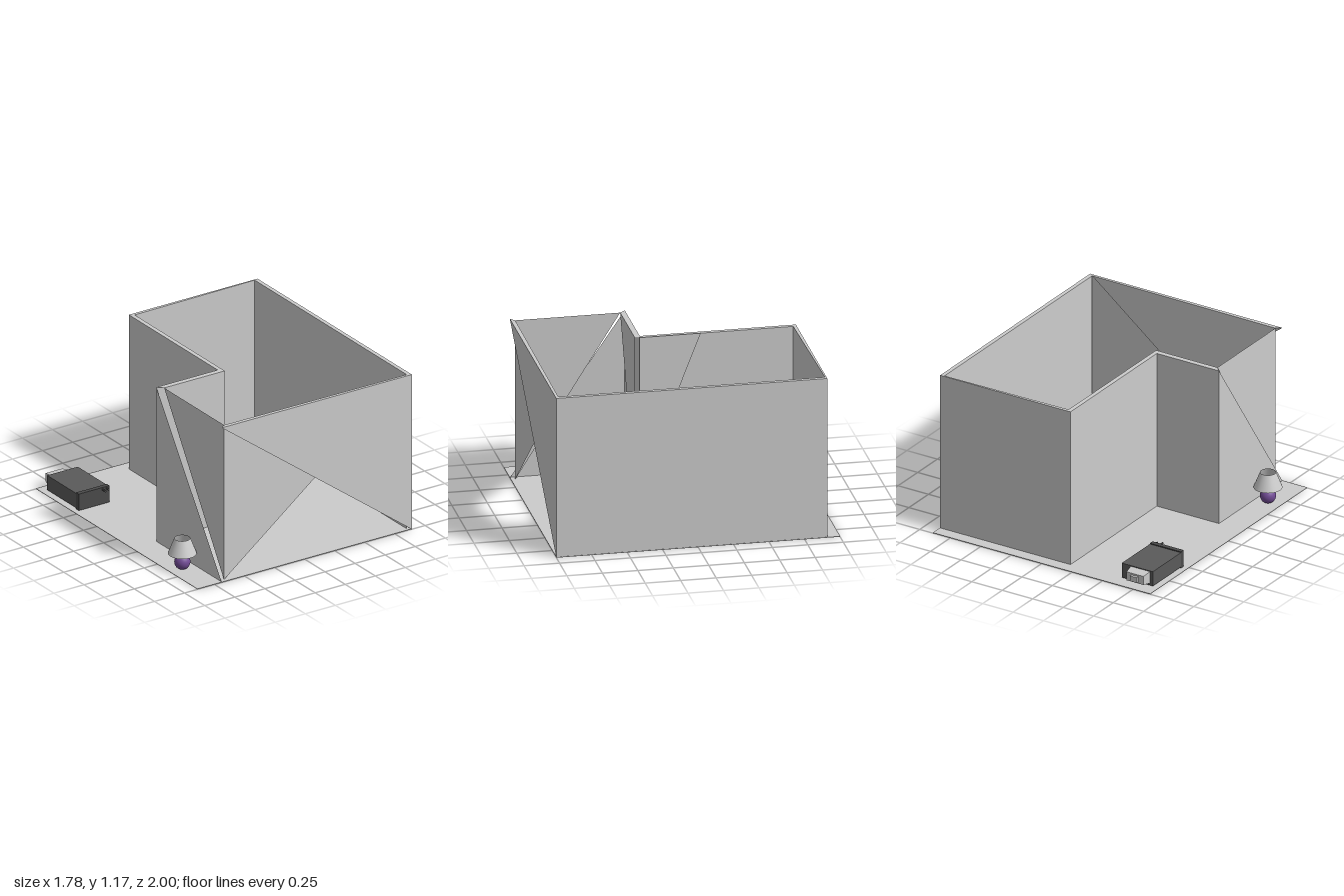
import * as THREE from 'three';

const paint = (color = 0xcccccc, flat = true) =>
  new THREE.MeshStandardMaterial({ color, flatShading: flat, side: THREE.DoubleSide });

function add(parent, name, geometry, material, x = 0, y = 0, z = 0) {
  const mesh = new THREE.Mesh(geometry, material);
  mesh.name = name;
  mesh.position.set(x, y, z);
  parent.add(mesh);
  return mesh;
}

// Flat convex panel from its corners, in order
function panel(corners) {
  const pos = [];
  for (let i = 1; i < corners.length - 1; i++) pos.push(...corners[0], ...corners[i], ...corners[i + 1]);
  const g = new THREE.BufferGeometry();
  g.setAttribute('position', new THREE.Float32BufferAttribute(pos, 3));
  g.computeVertexNormals();
  return g;
}

export function createModel() {
  const model = new THREE.Group();
  const grey = paint();
  const H = 1.175;

  // Floor slab
  add(model, 'floor', new THREE.BoxGeometry(1.785, 0.004, 2), grey, 0, 0.002, 0);

  // Plan of the room, [x, z], outer and inner face of each corner
  const outer = [[-0.69, 1], [0.89, 1], [0.89, -0.91], [-0.18, -0.91], [-0.18, 0.19], [-0.69, 0.19]];
  const inner = [[-0.652, 0.97], [0.86, 0.98], [0.86, -0.9], [-0.148, -0.885], [-0.148, 0.23], [-0.652, 0.23]];
  const names = ['frontWall', 'sideWall', 'backWall', 'recessSideWall', 'recessBackWall', 'leftWall'];

  // Panel corners: 0 start bottom, 1 end bottom, 2 end top, 3 start top
  // Some faces are only half there, leaving triangular openings
  const outerKeep = { 0: [1, 2, 3], 5: [0, 1, 3] };
  const innerKeep = { 0: [0, 2, 3], 4: [0, 2, 3], 5: [0, 2, 3] };
  const full = [0, 1, 2, 3];

  names.forEach((name, i) => {
    const wall = new THREE.Group();
    wall.name = name;
    model.add(wall);
    const j = (i + 1) % 6;
    const quad = (plan) => [
      [plan[i][0], 0, plan[i][1]], [plan[j][0], 0, plan[j][1]],
      [plan[j][0], H, plan[j][1]], [plan[i][0], H, plan[i][1]],
    ];
    const o = quad(outer), n = quad(inner);
    add(wall, 'outerFace', panel((outerKeep[i] || full).map((k) => o[k])), grey);
    if (i === 3) {
      // Notched inner face beside the recess corner
      const x = inner[3][0];
      add(wall, 'innerFace', panel([n[0], n[1], [x, H, -0.23], n[3]]), grey);
    } else {
      let keep = innerKeep[i] || full;
      if (i === 4) keep = [0, 2, 3];
      if (i === 5) keep = [0, 1, 2].map((k) => [3, 1, 2][k]);
      add(wall, 'innerFace', panel(keep.map((k) => n[k])), grey);
    }
    // Coping between the two faces
    if (i !== 5) add(wall, 'wallTop', panel([o[3], o[2], n[2], n[3]]), grey);
  });

  // Dark case with a pale tapered nozzle and two pegs
  const device = new THREE.Group();
  device.name = 'device';
  device.position.set(-0.73, 0, 0);
  model.add(device);
  const dark = paint(0x5a5a5a);
  add(device, 'case', new THREE.BoxGeometry(0.255, 0.11, 0.36), dark, 0, 0.073, -0.732);
  add(device, 'caseFront', new THREE.BoxGeometry(0.255, 0.125, 0.034), paint(0x4a4a4a), 0, 0.072, -0.537);
  const nozzle = new THREE.BoxGeometry(0.16, 0.09, 0.07);
  const p = nozzle.attributes.position;
  for (let i = 0; i < p.count; i++) {
    if (p.getZ(i) < 0) p.setXY(i, p.getX(i) * 0.86, p.getY(i) * 0.72);
  }
  nozzle.computeVertexNormals();
  add(device, 'nozzle', nozzle, grey, -0.025, 0.078, -0.945);
  add(device, 'nozzleTip', new THREE.BoxGeometry(0.06, 0.04, 0.02), grey, -0.025, 0.078, -0.99);
  for (const [x, len] of [[0.07, 0.04], [0.105, 0.026]]) {
    const peg = add(device, 'peg', new THREE.CylinderGeometry(0.007, 0.007, len, 10), dark, x, 0.12, -0.52 + len / 2);
    peg.rotation.x = Math.PI / 2;
  }

  // Table lamp: round base, stem and open shade
  const lamp = new THREE.Group();
  lamp.name = 'lamp';
  lamp.position.set(-0.79, 0, 0.66);
  model.add(lamp);
  add(lamp, 'lampBase', new THREE.SphereGeometry(0.056, 28, 18), paint(0x714b94, false), 0, 0.056, 0);
  add(lamp, 'lampStem', new THREE.CylinderGeometry(0.01, 0.01, 0.06, 12), dark, 0, 0.135, 0);
  add(lamp, 'lampShade', new THREE.CylinderGeometry(0.055, 0.1, 0.115, 32, 1, true), paint(0xcccccc, false), 0, 0.177, 0);

  return model;
}
